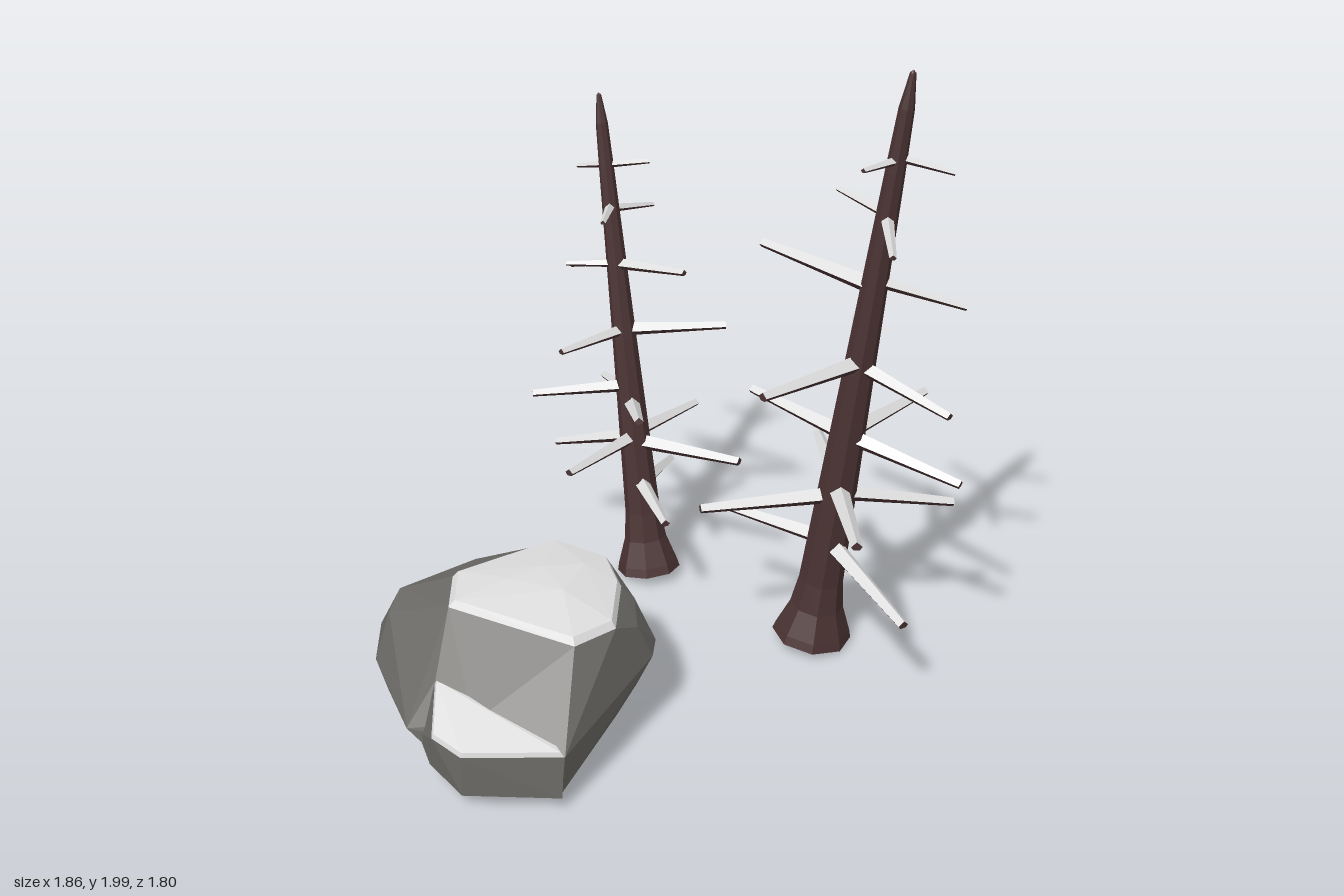
import * as THREE from 'three';
import { ConvexGeometry } from 'three/addons/geometries/ConvexGeometry.js';

const V = (a) => new THREE.Vector3(...a);
const mat = (name, color) => {
  const m = new THREE.MeshStandardMaterial({ color, flatShading: true });
  m.name = name;
  return m;
};
const bark = mat('bark', 0x4a3232);
const stone = mat('stone', 0x6a6864);
const snow = mat('snow', 0xdcdcdc);

function add(parent, name, geometry, material) {
  const mesh = new THREE.Mesh(geometry, material);
  mesh.name = name;
  parent.add(mesh);
  return mesh;
}

// Tapered five-sided branch: snow on the two upper faces, bark below
const SECTION = [[1, 0], [0, 0.9], [-1, 0], [-0.5, -0.65], [0.5, -0.65]];
function branchGeometry(root, tip) {
  const dir = tip.clone().sub(root);
  const size = THREE.MathUtils.clamp(dir.length() / 0.42, 0.5, 1);
  dir.normalize();
  const side = new THREE.Vector3(0, 1, 0).cross(dir).normalize();
  const up = dir.clone().cross(side);
  const ring = (centre, r) => SECTION.map(([s, u]) =>
    centre.clone().addScaledVector(side, s * r).addScaledVector(up, u * r));
  const a = ring(root, 0.034 * size), b = ring(tip, 0.018 * size);
  const points = [];
  for (let i = 0; i < 5; i++) {
    const j = (i + 1) % 5;
    points.push(a[i], a[j], b[j], a[i], b[j], b[i]);
  }
  for (let i = 1; i < 4; i++) points.push(b[0], b[i], b[i + 1]);
  const geometry = new THREE.BufferGeometry().setFromPoints(points);
  geometry.addGroup(0, 12, 0);
  geometry.addGroup(12, points.length - 12, 1);
  geometry.computeVertexNormals();
  return geometry;
}

// Leaning trunk with a flared foot; each branch is [rootHeight, tipX, tipY, tipZ]
function deadTree(name, base, top, r, branches) {
  const tree = new THREE.Group();
  tree.name = name;
  const foot = V(base), axis = V(top).sub(foot), h = axis.length();
  const profile = [[0, 0], [r * 1.8, 0], [r * 1.68, 0.03], [r * 1.2, 0.12], [r, 0.22],
    [r * 0.68, h * 0.5], [r * 0.42, h * 0.84], [r * 0.33, h * 0.94], [r * 0.13, h * 0.995], [0, h]];
  const trunk = add(tree, 'trunk',
    new THREE.LatheGeometry(profile.map((p) => new THREE.Vector2(...p)), 8), bark);
  trunk.position.copy(foot);
  trunk.quaternion.setFromUnitVectors(new THREE.Vector3(0, 1, 0), axis.clone().normalize());
  for (const [rootY, ...tip] of branches) {
    const root = foot.clone().addScaledVector(axis, (rootY - foot.y) / axis.y);
    add(tree, 'branch', branchGeometry(root, V(tip)), [snow, bark]);
  }
  return tree;
}

// Snow slab: hull of an outline and a raised, slightly shrunken copy of it
function slab(outline, rise, shrink, extra = []) {
  const low = outline.map(V);
  const centre = low.reduce((s, p) => s.add(p), new THREE.Vector3()).divideScalar(low.length);
  const high = low.map((p) => {
    const q = p.clone().lerp(centre, shrink);
    q.y = p.y + rise;
    return q;
  });
  return new ConvexGeometry([...low, ...high, ...extra.map(V)]);
}

function boulder() {
  const rock = new THREE.Group();
  rock.name = 'boulder';
  const cap = [[-0.385, 0.42, 0.05], [-0.2, 0.42, 0.16], [-0.15, 0.41, 0.3], [-0.15, 0.405, 0.54],
    [-0.265, 0.405, 0.645], [-0.67, 0.42, 0.465], [-0.685, 0.42, 0.28]];
  const body = [
    // widest outline
    [-0.385, 0.26, -0.045], [-0.62, 0.24, 0.04], [-0.935, 0.21, 0.23], [-0.92, 0.19, 0.41],
    [-0.86, 0.16, 0.53], [-0.77, 0.15, 0.72], [-0.275, 0.18, 0.885], [-0.045, 0.24, 0.43],
    [-0.04, 0.25, 0.35], [-0.08, 0.24, 0.24], [-0.195, 0.24, 0.08],
    // shoulders
    [-0.39, 0.38, -0.005], [-0.86, 0.36, 0.26], [-0.88, 0.33, 0.35], [-0.11, 0.37, 0.3],
    [-0.09, 0.35, 0.44], [-0.69, 0.27, 0.64], [-0.56, 0.21, 0.77], [-0.64, 0.38, 0.1],
    // underside
    [-0.85, 0.09, 0.28], [-0.78, 0.05, 0.5], [-0.6, 0.03, 0.8], [-0.29, 0.04, 0.87],
    [-0.62, 0.02, 0.45], [-0.5, 0.02, 0.65], [-0.3, 0.03, 0.5], [-0.1, 0.1, 0.38],
    [-0.2, 0.09, 0.15], [-0.4, 0.08, 0.02], [-0.65, 0.06, 0.15], [-0.15, 0.1, 0.55],
  ];
  add(rock, 'rockBody', new ConvexGeometry([...body, ...cap].map(V)), stone);

  // Low ledge at the front
  const ledge = [[-0.69, 0.265, 0.65], [-0.555, 0.2, 0.78], [-0.32, 0.19, 0.815],
    [-0.278, 0.18, 0.885], [-0.58, 0.175, 0.895], [-0.675, 0.195, 0.83]];
  const ledgeFoot = [[-0.58, 0.045, 0.9], [-0.285, 0.045, 0.9], [-0.69, 0.08, 0.8],
    [-0.6, 0.02, 0.8], [-0.32, 0.02, 0.78], [-0.74, 0.12, 0.7]];
  add(rock, 'rockLedge', new ConvexGeometry([...ledge, ...ledgeFoot].map(V)), stone);

  add(rock, 'snowCap', slab(cap, 0.022, 0.06,
    [[-0.4, 0.465, 0.28], [-0.32, 0.465, 0.42], [-0.5, 0.46, 0.35], [-0.27, 0.46, 0.25]]), snow);
  add(rock, 'ledgeSnow', slab(ledge, 0.015, 0.04), snow);
  return rock;
}

export function createModel() {
  const model = new THREE.Group();
  model.name = 'winterScene';
  model.add(deadTree('tallTree', [0.465, 0.03, -0.065], [0.7, 2, 0.01], 0.074, [
    [0.4, 0.17, 0.4, -0.265], [0.4, 0.735, 0.31, 0.33],
    [0.57, 0.09, 0.57, 0.075], [0.58, 0.92, 0.5, -0.14],
    [0.6, 0.575, 0.615, 0.38], [0.62, 0.48, 0.59, -0.46],
    [0.79, 0.25, 0.83, -0.29], [0.8, 0.825, 0.81, -0.34], [0.79, 0.905, 0.71, 0.14],
    [1.05, 0.28, 1.05, 0.25], [1.04, 0.59, 1.06, -0.38], [1.04, 0.85, 0.975, 0.205],
    [1.31, 0.275, 1.34, -0.31], [1.33, 0.905, 1.245, -0.015],
    [1.55, 0.505, 1.56, -0.21], [1.54, 0.65, 1.5, 0.24],
    [1.72, 0.56, 1.725, 0.12], [1.73, 0.84, 1.685, 0.01],
  ]));
  model.add(deadTree('shortTree', [-0.11, 0.025, -0.48], [-0.285, 1.71, -0.735], 0.062, [
    [0.36, -0.035, 0.36, -0.2], [0.34, -0.05, 0.26, -0.89],
    [0.52, -0.365, 0.52, -0.25], [0.5, 0.21, 0.51, -0.38],
    [0.53, 0.045, 0.515, -0.845], [0.52, -0.455, 0.41, -0.71],
    [0.7, -0.515, 0.685, -0.53], [0.64, -0.125, 0.725, -0.235], [0.68, -0.295, 0.6, -0.89],
    [0.9, -0.395, 0.91, -0.38], [0.9, 0.155, 0.915, -0.625], [0.9, -0.225, 0.825, -0.9],
    [1.14, -0.395, 1.06, -0.81], [1.13, 0.015, 1.165, -0.475],
    [1.13, -0.4, 1.125, -0.65],
    [1.32, -0.11, 1.28, -0.84], [1.33, -0.255, 1.34, -0.47],
    [1.47, -0.365, 1.425, -0.815], [1.47, -0.115, 1.475, -0.72],
  ]));
  model.add(boulder());
  return model;
}
